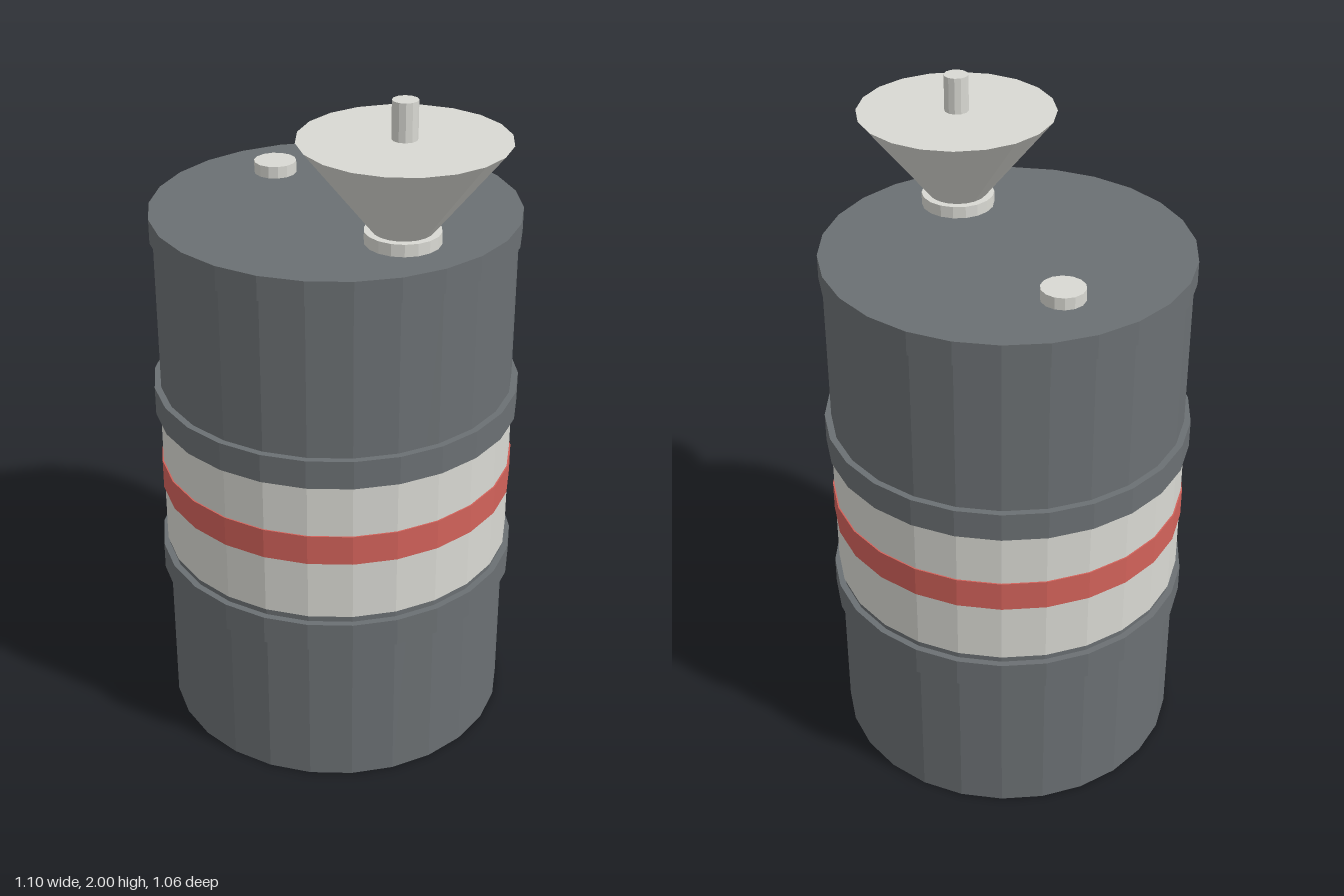
import * as THREE from 'three';

const mat = (name, color) => {
  const m = new THREE.MeshStandardMaterial({ color });
  m.name = name;
  return m;
};

export function createModel() {
  const steel = mat('dark grey steel', 0x6b7073);
  const pale = mat('pale grey', 0xd9d9d3);
  const red = mat('red paint', 0xd2625a);
  const model = new THREE.Group();
  model.name = 'drumWithFunnel';

  // Faceted cylinder between two heights, with a corner facing +x
  const ring = (parent, name, material, sides, y0, y1, rBottom, rTop = rBottom) => {
    const geo = new THREE.CylinderGeometry(rTop, rBottom, y1 - y0, sides)
      .rotateY(Math.PI / 2).toNonIndexed();
    geo.computeVertexNormals(); // flat facets
    const mesh = new THREE.Mesh(geo, material);
    mesh.name = name;
    mesh.position.y = (y0 + y1) / 2;
    parent.add(mesh);
  };
  const group = (name, x, z) => {
    const g = new THREE.Group();
    g.name = name;
    g.position.set(x, 0, z);
    model.add(g);
    return g;
  };

  // Barrel with rim, hoops and painted bands
  const drum = group('drum', -0.019, 0);
  ring(drum, 'body', steel, 26, 0, 1.6, 0.516);
  ring(drum, 'topRim', steel, 26, 1.54, 1.61, 0.525);
  ring(drum, 'lowerHoop', steel, 26, 0.47, 0.555, 0.535);
  ring(drum, 'upperHoop', steel, 26, 1.005, 1.09, 0.535);
  ring(drum, 'paleBand', pale, 26, 0.575, 1.006, 0.521);
  ring(drum, 'redStripe', red, 26, 0.755, 0.845, 0.525);

  // Small plug on the lid
  const plug = group('plug', -0.305, -0.145);
  ring(plug, 'plugCap', pale, 14, 1.6, 1.645, 0.062);

  // Closed funnel on a collar with a short rod
  const funnel = group('funnel', 0.266, 0.142);
  ring(funnel, 'collar', pale, 18, 1.6, 1.645, 0.105);
  ring(funnel, 'cone', pale, 20, 1.64, 1.895, 0.08, 0.284);
  ring(funnel, 'rod', pale, 12, 1.88, 2, 0.035);

  return model;
}
